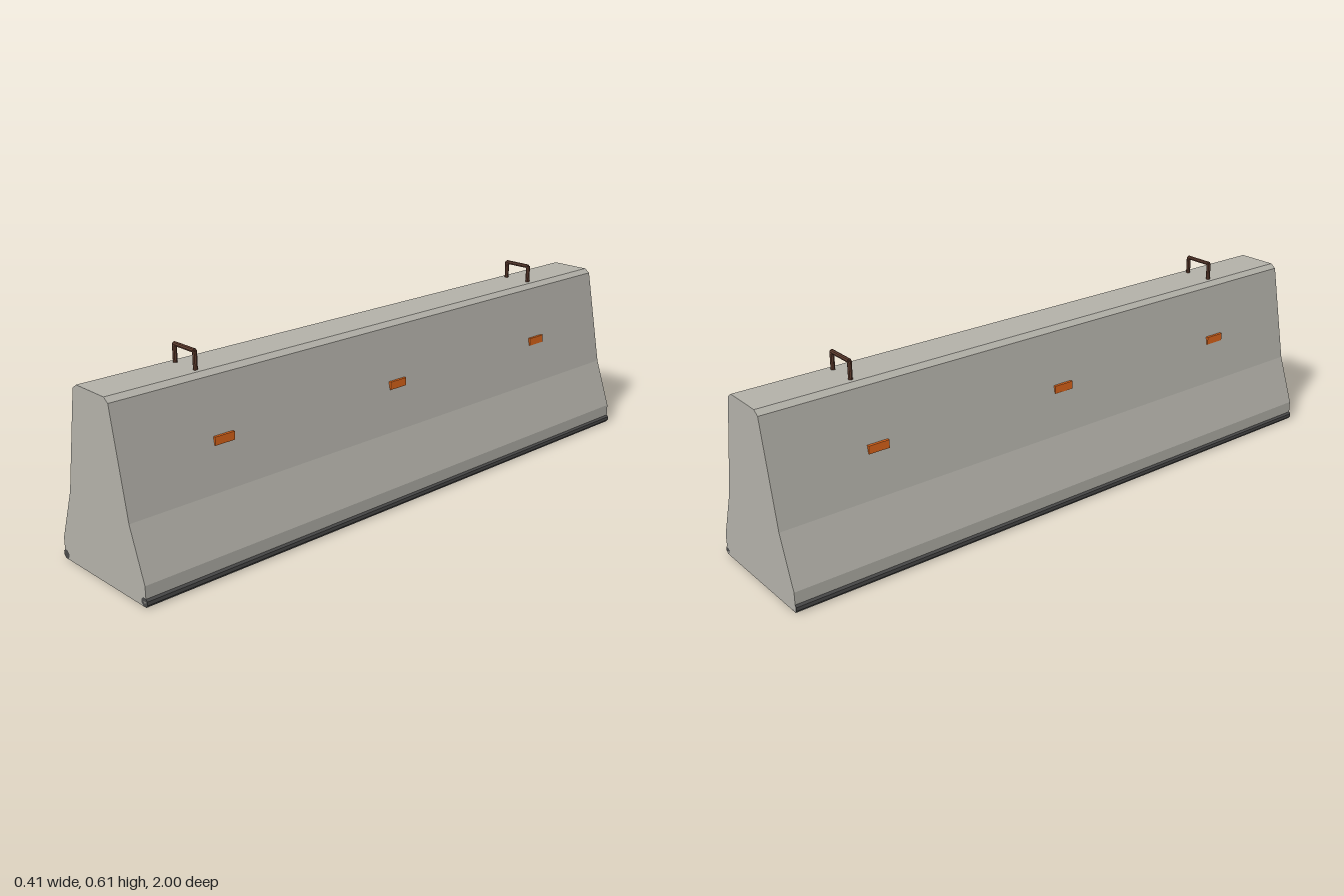
import * as THREE from 'three';

const paint = (color) => new THREE.MeshStandardMaterial({ color, flatShading: true });

export function createModel() {
  const root = new THREE.Group();
  root.name = 'concreteBarrier';
  const concrete = paint(0xb2b0a8);
  const rubber = paint(0x4a4a4a);
  const steel = paint(0x5c3a2c);
  const orange = paint(0xe0661a);

  function add(name, geometry, material, x, y, z, parent = root) {
    const mesh = new THREE.Mesh(geometry, material);
    mesh.name = name;
    mesh.position.set(x, y, z);
    parent.add(mesh);
    return mesh;
  }

  // Barrier body: mirrored half profile, extruded along z
  const half = [[0.2, 0], [0.2, 0.063], [0.144, 0.22], [0.084, 0.535], [0.066, 0.548]];
  const outline = [...half, ...half.map(([x, y]) => [-x, y]).reverse()];
  const shape = new THREE.Shape(outline.map(([x, y]) => new THREE.Vector2(x, y)));
  add('body', new THREE.ExtrudeGeometry(shape, { depth: 2, bevelEnabled: false }), concrete, 0, 0, -1);

  // Eight-sided strips along both bottom edges
  const stripGeometry = new THREE.CylinderGeometry(0.0145, 0.0145, 2, 8);
  stripGeometry.rotateY(Math.PI / 8).rotateX(Math.PI / 2);

  // Reflectors on both slopes
  const reflectorGeometry = new THREE.BoxGeometry(0.013, 0.025, 0.067);
  for (const side of [-1, 1]) {
    add('baseStrip', stripGeometry, rubber, side * 0.1925, 0.0135, 0);
    for (const z of [-0.667, 0, 0.667]) {
      add('reflector', reflectorGeometry, orange, side * 0.1165, 0.3615, z);
    }
  }

  // Lifting handles: two posts and a crossbar
  const postGeometry = new THREE.CylinderGeometry(0.0067, 0.0067, 0.062, 8);
  const barGeometry = new THREE.CylinderGeometry(0.0067, 0.0067, 0.093, 8);
  barGeometry.rotateZ(Math.PI / 2);
  for (const z of [-0.7, 0.7]) {
    const handle = new THREE.Group();
    handle.name = 'liftingHandle';
    handle.position.z = z;
    root.add(handle);
    for (const side of [-1, 1]) add('handlePost', postGeometry, steel, side * 0.0465, 0.571, 0, handle);
    add('handleBar', barGeometry, steel, 0, 0.6015, 0, handle);
  }
  return root;
}
